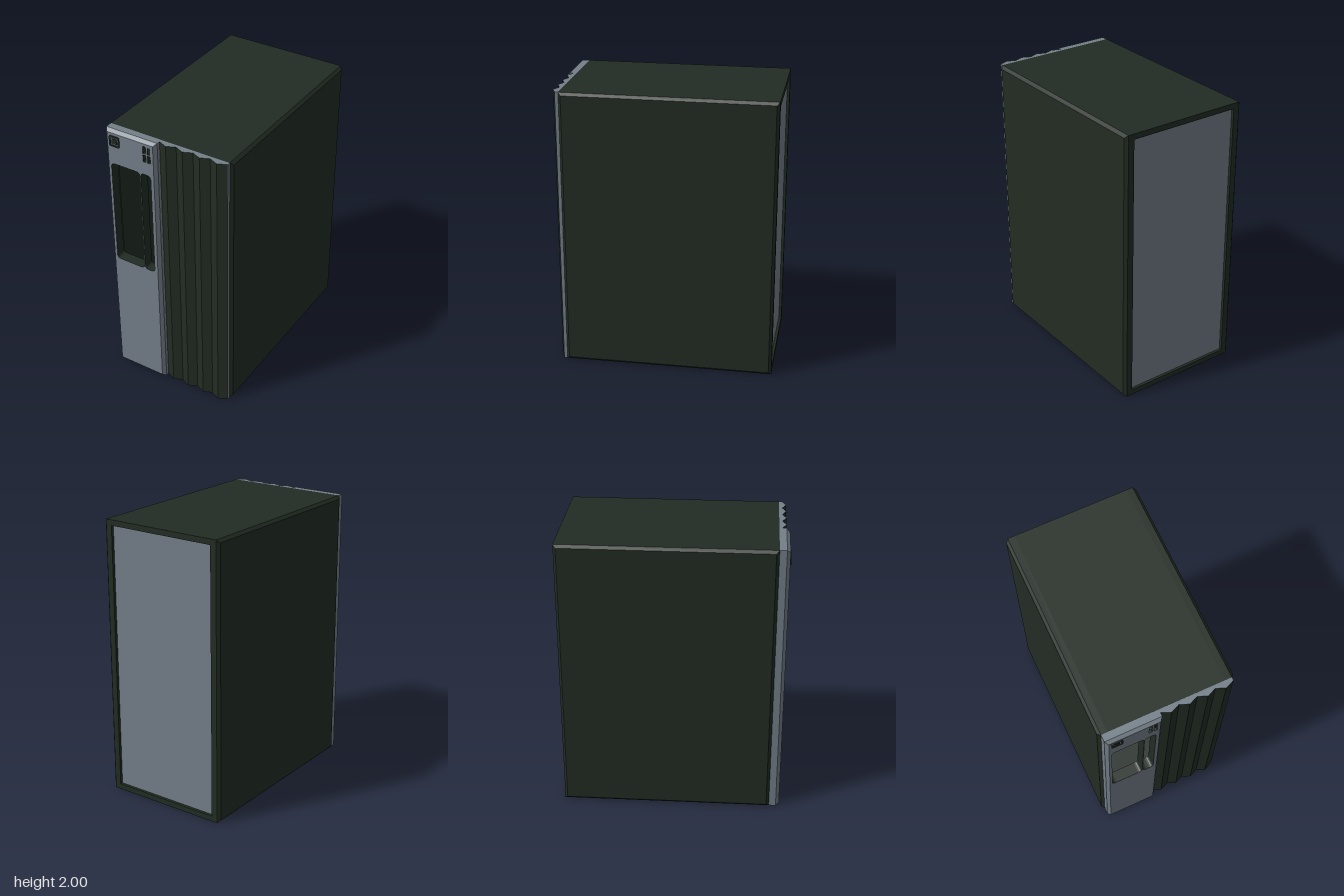
import * as THREE from 'three';

const grey = new THREE.MeshStandardMaterial({ color: 0x747f89 });
grey.name = 'steel grey';
const dark = new THREE.MeshStandardMaterial({ color: 0x222c23 });
dark.name = 'dark green';

function add(parent, name, geometry, material, x = 0, y = 0, z = 0) {
  const mesh = new THREE.Mesh(geometry, material);
  mesh.name = name;
  mesh.position.set(x, y, z);
  parent.add(mesh);
  return mesh;
}

// Rounded rectangle between two corners, as a Shape or a Path for a hole
function roundRect(Type, x0, x1, y0, y1, r) {
  const p = new Type();
  p.moveTo(x0 + r, y0);
  p.lineTo(x1 - r, y0);
  p.quadraticCurveTo(x1, y0, x1, y0 + r);
  p.lineTo(x1, y1 - r);
  p.quadraticCurveTo(x1, y1, x1 - r, y1);
  p.lineTo(x0 + r, y1);
  p.quadraticCurveTo(x0, y1, x0, y1 - r);
  p.lineTo(x0, y0 + r);
  p.quadraticCurveTo(x0, y0, x0 + r, y0);
  return p;
}

const extrude = (shape, depth) =>
  new THREE.ExtrudeGeometry(shape, { depth, bevelEnabled: false, curveSegments: 5 });

// Side wall whose outer face is chamfered on all four edges
function sideWall() {
  const g = new THREE.BoxGeometry(0.065, 2, 1.49, 2, 1, 1);
  const p = g.attributes.position;
  for (let i = 0; i < p.count; i++) {
    const x = p.getX(i);
    if (Math.abs(x) < 0.001) p.setX(i, 0.0125);
    else if (x > 0) {
      p.setY(i, p.getY(i) - Math.sign(p.getY(i)) * 0.02);
      p.setZ(i, p.getZ(i) - Math.sign(p.getZ(i)) * 0.02);
    }
  }
  const flat = g.toNonIndexed();
  flat.computeVertexNormals();
  return flat;
}

// Four-sided open band, its front edge drawn in by the inset
function band(w, h, d, inset) {
  const g = new THREE.BoxGeometry(w, h, d);
  const p = g.attributes.position;
  for (let i = 0; i < p.count; i++) {
    if (p.getZ(i) < 0) continue;
    p.setX(i, p.getX(i) - Math.sign(p.getX(i)) * inset);
    p.setY(i, p.getY(i) - Math.sign(p.getY(i)) * inset);
  }
  g.setIndex(Array.from(g.index.array).slice(0, 24));
  g.clearGroups();
  const flat = g.toNonIndexed();
  flat.computeVertexNormals();
  return flat;
}

export function createModel() {
  const model = new THREE.Group();
  model.name = 'computerTower';

  // Hollow case
  const shell = new THREE.Group();
  shell.name = 'caseShell';
  model.add(shell);
  add(shell, 'leftWall', sideWall(), dark, 0.4425, 1, -0.04);
  add(shell, 'rightWall', sideWall(), dark, -0.4425, 1, -0.04).rotation.y = Math.PI;
  for (const [name, y] of [['topBoard', 1.98], ['bottomBoard', 0.02]])
    add(shell, name, new THREE.BoxGeometry(0.82, 0.04, 1.49), dark, 0, y, -0.04);

  // Recessed rear panel
  add(model, 'rearPanel', new THREE.BoxGeometry(0.82, 1.92, 0.01), grey, 0, 1, -0.76);

  // Front panel with drive bays and small ports cut right through
  const front = new THREE.Group();
  front.name = 'frontPanel';
  model.add(front);
  add(front, 'panelSides', band(0.4, 2, 0.05, 0), grey, -0.255, 1, 0.729);
  add(front, 'panelChamfer', band(0.4, 2, 0.024, 0.02), grey, -0.255, 1, 0.766);
  const face = roundRect(THREE.Shape, -0.435, -0.075, 0.02, 1.98, 0);
  face.holes.push(
    roundRect(THREE.Path, -0.415, -0.186, 0.96, 1.745, 0.03),
    roundRect(THREE.Path, -0.18, -0.1, 0.96, 1.745, 0.03)
  );
  for (const x of [-0.155, -0.12])
    for (const y of [1.842, 1.906])
      face.holes.push(roundRect(THREE.Path, x, x + 0.023, y, y + 0.053, 0.002));
  add(front, 'panelFace', extrude(face, 0.078), [grey, dark], 0, 0, 0.7);
  add(front, 'filledPort', new THREE.BoxGeometry(0.021, 0.051, 0.006), dark, -0.1085, 1.9325, 0.772);

  // Power button: a ring around a square key
  const ring = roundRect(THREE.Shape, -0.04, 0.04, -0.04, 0.04, 0.014);
  ring.holes.push(roundRect(THREE.Path, -0.029, 0.029, -0.029, 0.029, 0.008));
  add(front, 'buttonRing', extrude(ring, 0.007), dark, -0.378, 1.921, 0.777);
  add(front, 'buttonKey', new THREE.BoxGeometry(0.038, 0.038, 0.007), dark, -0.378, 1.921, 0.78);

  // Ridged front half, drawn from above and extruded upward
  const zig = new THREE.Shape();
  zig.moveTo(-0.055, -0.704);
  const step = 0.51 / 8;
  for (let i = 0; i <= 8; i++) zig.lineTo(-0.055 + i * step, i % 2 ? -0.755 : -0.728);
  zig.lineTo(0.455, -0.704);
  const ridges = extrude(zig, 2);
  ridges.rotateX(-Math.PI / 2);
  add(model, 'ridgedFront', ridges, [grey, dark]);
  add(model, 'ridgedFrontSide', new THREE.BoxGeometry(0.002, 2, 0.024), grey, 0.455, 1, 0.716);

  return model;
}
